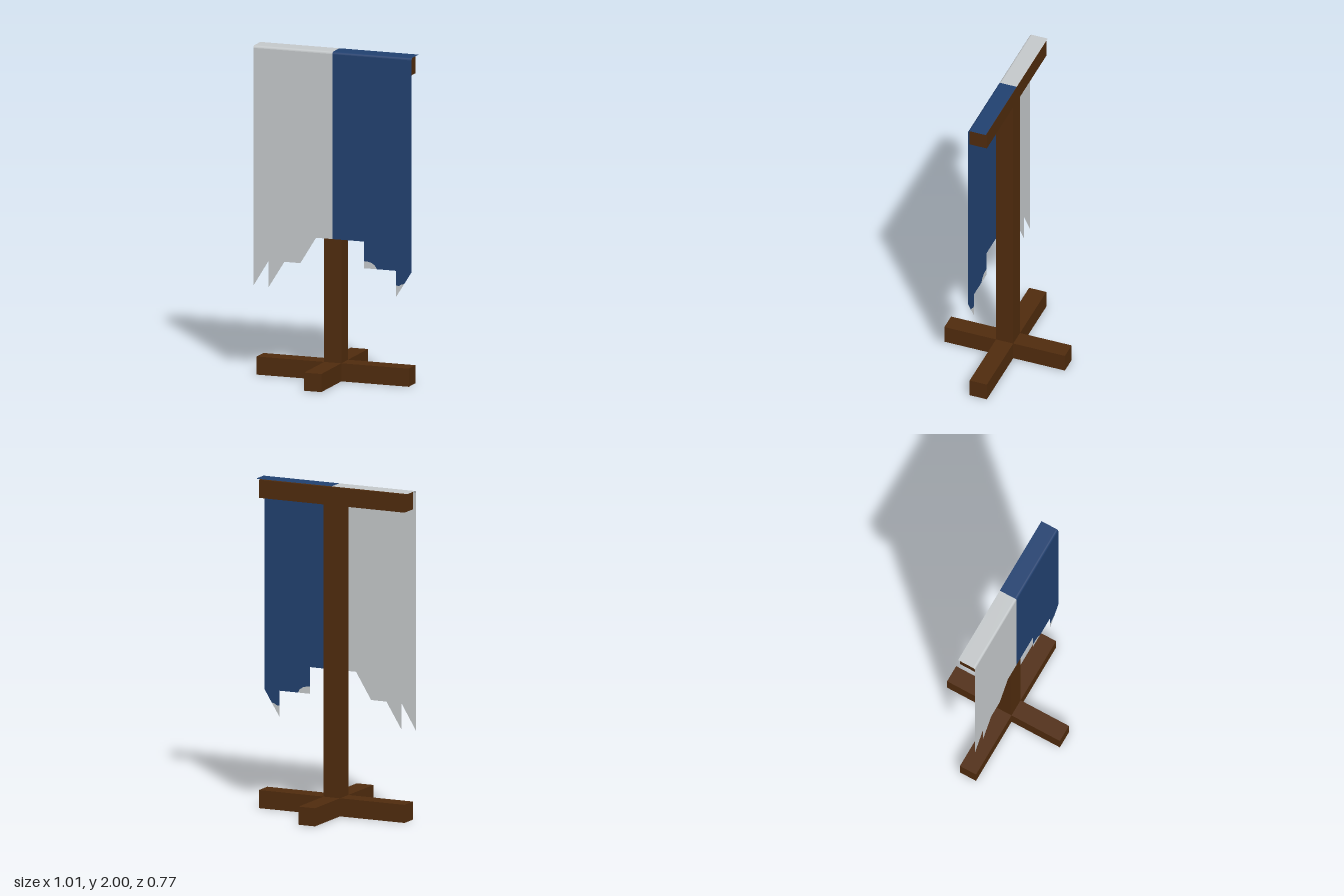
import * as THREE from 'three';

const wood = new THREE.MeshStandardMaterial({ name: 'dark wood', color: 0x4f2b0d });
const blue = new THREE.MeshStandardMaterial({ name: 'blue cloth', color: 0x21406f, side: THREE.DoubleSide });
const grey = new THREE.MeshStandardMaterial({ name: 'pale grey cloth', color: 0xc3c7c9, side: THREE.DoubleSide });

const T = 0.11;        // timber thickness
const FRONT = 0.0585;  // z of the hanging cloth
const R = 0.014;       // radius of the fold over the crossbar

export function createModel() {
  const group = new THREE.Group();
  group.name = 'tatteredBannerStand';

  const add = (name, geometry, material) => {
    const mesh = new THREE.Mesh(geometry, material);
    mesh.name = name;
    group.add(mesh);
    return mesh;
  };
  const beam = (name, w, h, d, x, y, z) =>
    add(name, new THREE.BoxGeometry(w, h, d), wood).position.set(x, y, z);

  // Crossed feet, post and crossbar
  beam('footBeam', 0.97, T, T, 0, T / 2, 0);
  for (const s of [1, -1]) beam(s > 0 ? 'frontFoot' : 'backFoot', T, T, 0.33, 0, T / 2, s * 0.22);
  beam('post', T, 1.885 - T, T, 0, (1.885 + T) / 2, 0);
  beam('crossbar', 0.97, T, T, 0, 1.94, 0);

  // Cloth lying over the crossbar and curving down at the front
  const section = [[2, -0.056]];
  for (let i = 0; i <= 4; i++) {
    const a = (i / 4) * Math.PI / 2;
    section.push([2 - R + R * Math.cos(a), FRONT - R + R * Math.sin(a)]);
  }
  const fold = (name, x0, x1, material) => {
    const pos = [], index = [];
    section.forEach(([y, z], i) => {
      pos.push(x0, y, z, x1, y, z);
      const a = i * 2;
      if (i < section.length - 1) index.push(a, a + 2, a + 1, a + 1, a + 2, a + 3);
    });
    const g = new THREE.BufferGeometry();
    g.setAttribute('position', new THREE.Float32BufferAttribute(pos, 3));
    g.setIndex(index);
    g.computeVertexNormals();
    add(name, g, material);
  };
  fold('rightFold', -0.505, 0, grey);
  fold('leftFold', 0, 0.505, blue);

  // Hanging cloth with a torn lower edge
  const sheet = (name, points, material) => {
    const shape = new THREE.Shape(points.map(([x, y]) => new THREE.Vector2(x, y)));
    add(name, new THREE.ShapeGeometry(shape), material).position.z = FRONT;
  };
  const top = 2 - R;
  sheet('rightCloth', [
    [0, top], [-0.505, top], [-0.505, 0.54], [-0.407, 0.7], [-0.407, 0.54],
    [-0.307, 0.7], [-0.205, 0.7], [-0.105, 0.862], [0, 0.862],
  ], grey);

  // Worn edges shared by the blue cloth and its pale patches
  const wornHem = [[0.202, 0.743], [0.225, 0.742], [0.25, 0.735], [0.27, 0.722], [0.283, 0.7]];
  const wornTip = [[0.405, 0.61], [0.425, 0.61], [0.44, 0.62], [0.457, 0.623]];
  sheet('leftCloth', [
    [0, top], [0, 0.862], [0.202, 0.862], ...wornHem, [0.405, 0.7], ...wornTip,
    [0.505, 0.7], [0.505, top],
  ], blue);
  sheet('wornHemPatch', [[0.202, 0.7], ...wornHem], grey);
  sheet('wornTipPatch', [[0.405, 0.54], ...wornTip], grey);

  return group;
}
